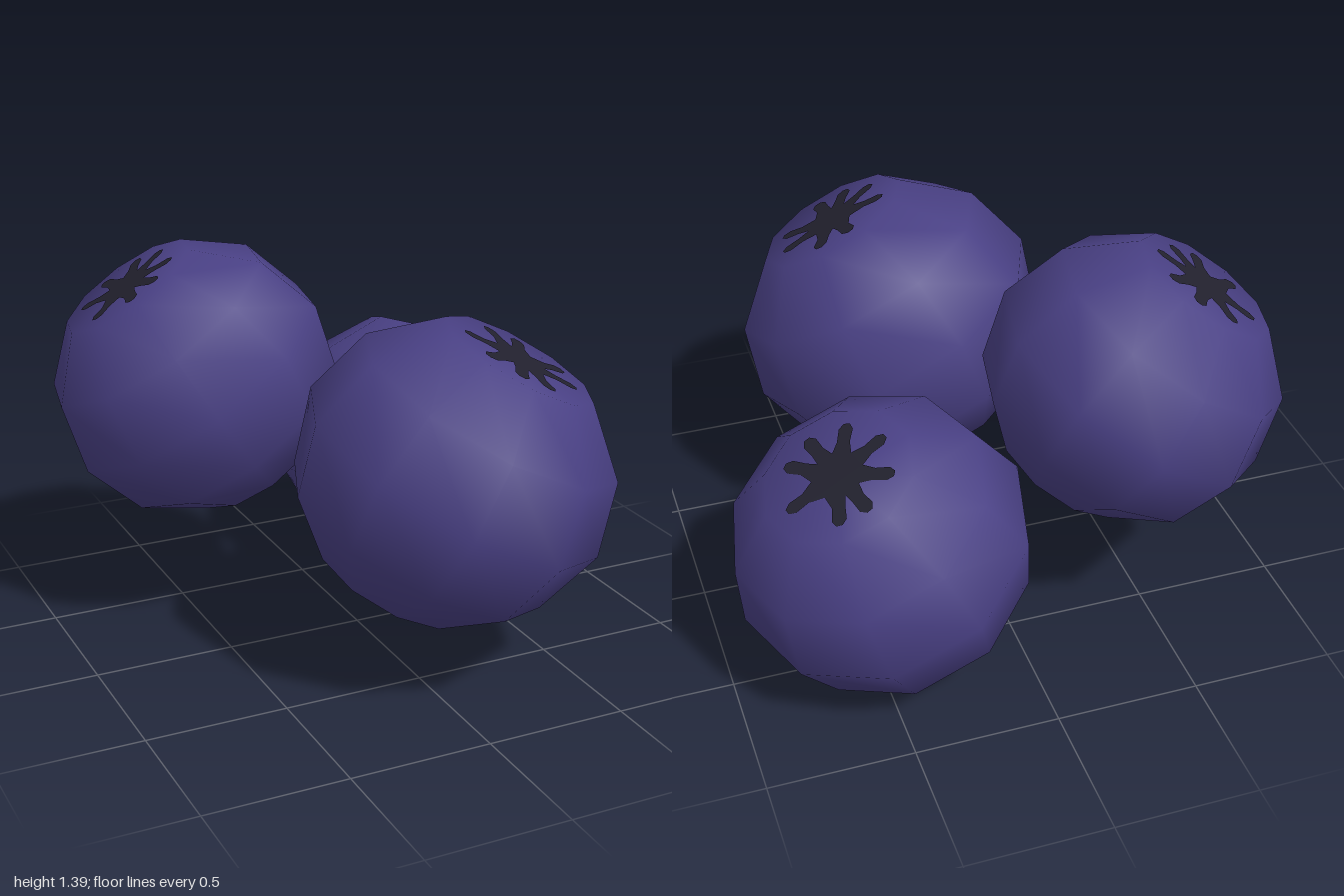
import * as THREE from 'three';

const skin = new THREE.MeshStandardMaterial({ color: 0x494084 });
skin.name = 'berry skin';
const dark = new THREE.MeshStandardMaterial({ color: 0x22212e });
dark.name = 'dark crown';

const EQUATOR = 0.53, POLE = 0.49;
const CAP = POLE * Math.cos(Math.PI / 6); // height of the flat caps at both ends

// Each berry: centre, direction of its crown, size, twist and crown arm angles in degrees
const berries = [
  { at: [-0.46, 0.9, -0.4], axis: [-0.23, 0.36, -0.05], size: 0.985, twist: -7,
    arms: [-145, -99, -55, -18, 31, 70, 103, 153] },
  { at: [0.46, 0.487, -0.5], axis: [0.16, 0.385, -0.08], size: 0.985, twist: -3,
    arms: [-149, -105, -74, -13, 42, 76, 118, 164] },
  { at: [0.135, 0.735, 0.47], axis: [0.185, 0.385, 0.09], size: 1.06, twist: 3,
    arms: [-159, -98, -63, -9, 30, 87, 119, 155] },
];

// Low-poly body with smooth normals, slightly squashed and flat at the poles
function bodyGeometry(twist) {
  const g = new THREE.SphereGeometry(1, 10, 6);
  g.scale(EQUATOR, POLE, EQUATOR);
  const p = g.attributes.position;
  for (let i = 0; i < p.count; i++) {
    p.setY(i, THREE.MathUtils.clamp(p.getY(i), -CAP, CAP));
  }
  return g.rotateY(-THREE.MathUtils.degToRad(twist));
}

// Thin star with blunt arms lying on the upper cap
function crownGeometry(arms) {
  const points = [];
  const add = (r, deg) => {
    const a = THREE.MathUtils.degToRad(deg);
    points.push(new THREE.Vector2(r * Math.cos(a), -r * Math.sin(a)));
  };
  arms.forEach((angle, i) => {
    const next = i + 1 < arms.length ? arms[i + 1] : arms[0] + 360;
    add(0.13, angle - 10);
    add(0.18, angle - 8);
    add(0.2, angle - 3);
    add(0.2, angle + 3);
    add(0.18, angle + 8);
    add(0.13, angle + 10);
    add(0.09, (angle + next) / 2);
  });
  const g = new THREE.ShapeGeometry(new THREE.Shape(points));
  return g.rotateX(-Math.PI / 2).translate(0, CAP + 0.004, 0);
}

export function createModel() {
  const model = new THREE.Group();
  model.name = 'berries';
  const up = new THREE.Vector3(0, 1, 0);

  for (const { at, axis, size, twist, arms } of berries) {
    const berry = new THREE.Group();
    berry.name = 'berry';
    const add = (name, geometry, material) => {
      const mesh = new THREE.Mesh(geometry, material);
      mesh.name = name;
      berry.add(mesh);
    };
    add('body', bodyGeometry(twist), skin);
    add('crown', crownGeometry(arms), dark);
    // Stem scar on the lower cap
    const scar = new THREE.CircleGeometry(0.045, 10).rotateX(Math.PI / 2);
    add('stemScar', scar.translate(0, -CAP - 0.004, 0), dark);

    berry.position.set(...at);
    berry.quaternion.setFromUnitVectors(up, new THREE.Vector3(...axis).normalize());
    berry.scale.setScalar(size);
    model.add(berry);
  }
  return model;
}
